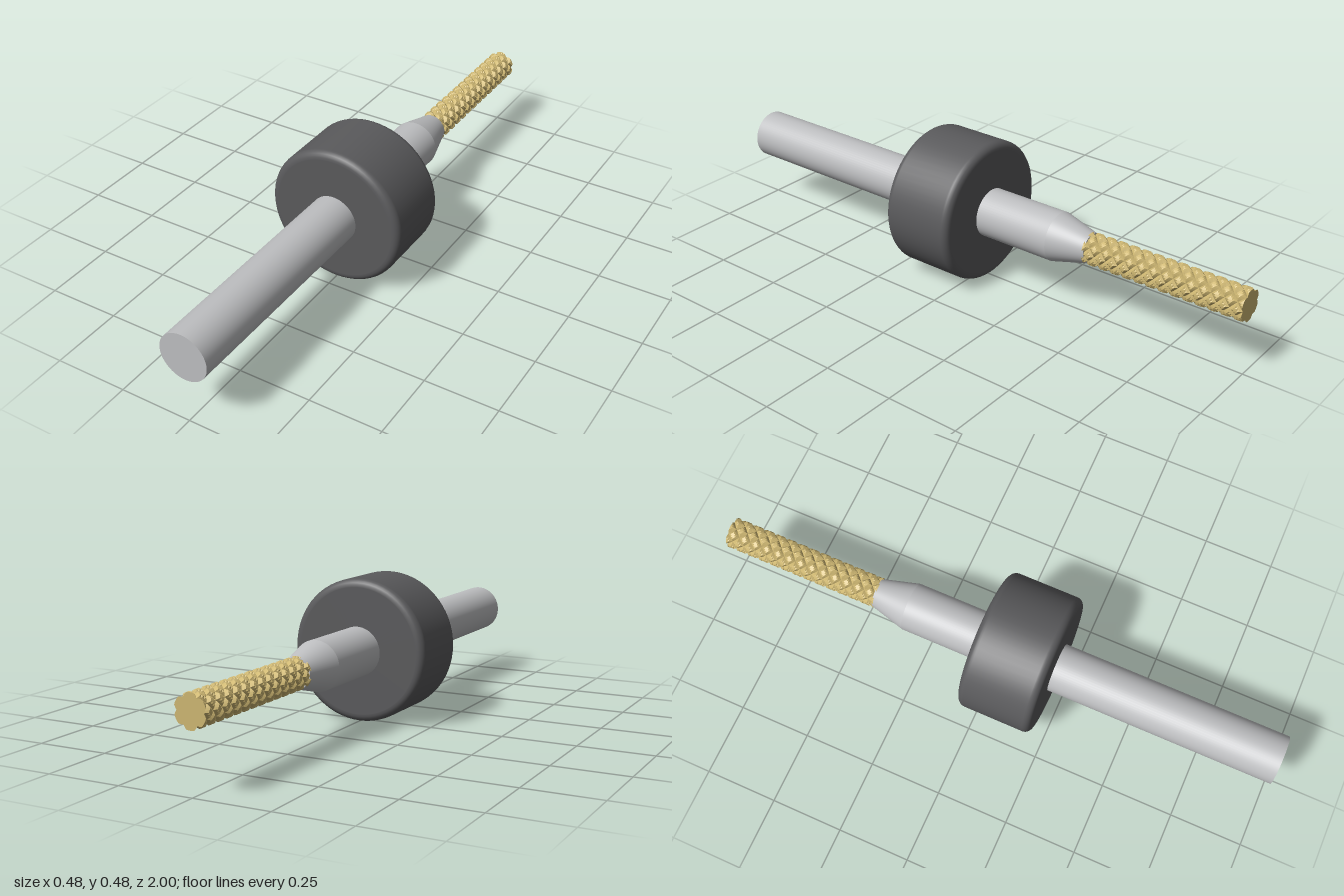
import * as THREE from 'three';

const AXIS_Y = 0.241;

// Cutter surface: two opposed sets of helical grooves leave rows of diamond teeth.
function cutterGeometry(zTip, zRoot, radius, depth, starts, rows) {
  const step = 8, cols = starts * step, rings = rows * step;
  const tri = (t) => 1 - Math.abs(2 * (t - Math.floor(t)) - 1);
  const pos = [], index = [];
  for (let j = 0; j <= rings; j++) {
    const z = zTip + (zRoot - zTip) * j / rings;
    for (let i = 0; i < cols; i++) {
      const h = Math.min(1, 2 * Math.min(tri((i + j) / step), tri((i - j) / step)));
      const r = radius - depth * (1 - h), a = i / cols * Math.PI * 2;
      pos.push(r * Math.cos(a), r * Math.sin(a), z);
    }
  }
  // Split every quad along the groove that crosses it
  for (let j = 0; j < rings; j++) {
    for (let i = 0; i < cols; i++) {
      const n = (i + 1) % cols;
      const a = j * cols + i, b = j * cols + n, c = a + cols, d = b + cols;
      if ((i - j) % 4 === 0) index.push(a, b, d, a, d, c);
      else index.push(a, b, c, b, d, c);
    }
  }
  // Flat tip
  const centre = pos.length / 3;
  pos.push(0, 0, zTip);
  for (let i = 0; i < cols; i++) index.push(centre, (i + 1) % cols, i);
  const g = new THREE.BufferGeometry();
  g.setAttribute('position', new THREE.Float32BufferAttribute(pos, 3));
  g.setIndex(index);
  const flat = g.toNonIndexed();
  flat.computeVertexNormals();
  return flat;
}

// Round bar between two z positions
function bar(z0, z1, r0, r1) {
  return new THREE.CylinderGeometry(r1, r0, z1 - z0, 64)
    .rotateX(Math.PI / 2).translate(0, 0, (z0 + z1) / 2);
}

// Ring with rounded outer edges
function ring(z0, z1, rIn, rOut, fillet) {
  const pts = [new THREE.Vector2(rIn, z0), new THREE.Vector2(rOut - fillet - 0.002, z0)];
  const corner = (z, start) => {
    for (let k = 0; k <= 6; k++) {
      const a = start + k / 6 * Math.PI / 2;
      pts.push(new THREE.Vector2(rOut - fillet + fillet * Math.cos(a), z + fillet * Math.sin(a)));
    }
  };
  corner(z0 + fillet, -Math.PI / 2);
  corner(z1 - fillet, 0);
  pts.push(new THREE.Vector2(rOut - fillet - 0.002, z1), new THREE.Vector2(rIn, z1));
  return new THREE.LatheGeometry(pts, 64).rotateX(Math.PI / 2);
}

export function createModel() {
  const material = (name, color) => {
    const m = new THREE.MeshStandardMaterial({ color });
    m.name = name;
    return m;
  };
  const steel = material('steel', 0xbdbec0);
  const rubber = material('dark grey', 0x5a5a5c);
  const gold = material('gold', 0xcfb873);

  const group = new THREE.Group();
  group.name = 'cutting bit';
  const add = (name, geometry, mat) => {
    const mesh = new THREE.Mesh(geometry, mat);
    mesh.name = name;
    mesh.position.y = AXIS_Y;
    group.add(mesh);
  };

  add('shank', bar(-0.32, 1, 0.083, 0.083), steel);
  add('neck', bar(-0.445, -0.32, 0.05, 0.083), steel);
  add('collar', ring(-0.045, 0.215, 0.08, 0.241, 0.025), rubber);
  add('cutter', cutterGeometry(-1, -0.44, 0.053, 0.009, 6, 13), gold);
  return group;
}
